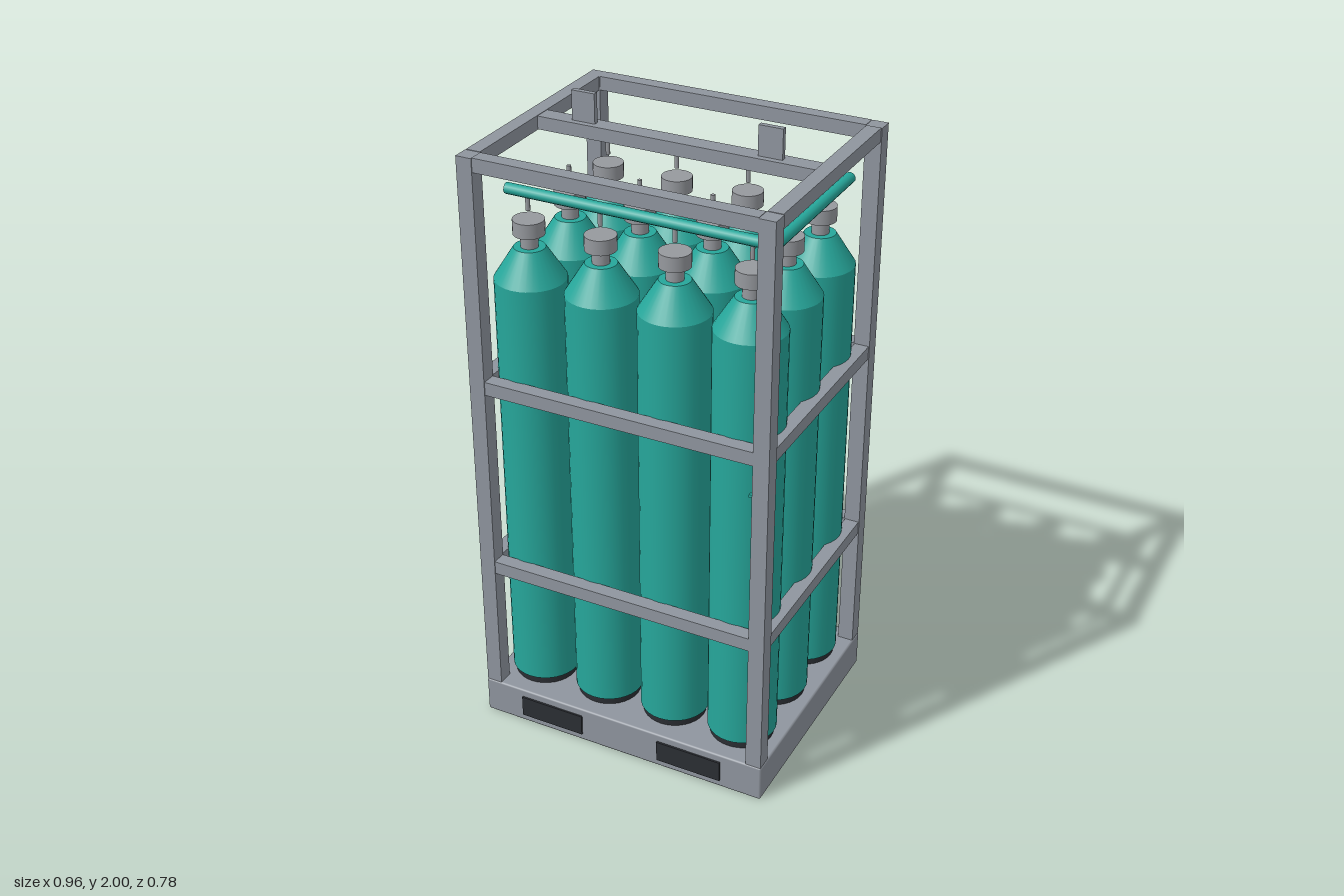
import * as THREE from 'three';
import { RoundedBoxGeometry } from 'three/addons/geometries/RoundedBoxGeometry.js';

export function createModel() {
  const mat = (name, color) => {
    const m = new THREE.MeshStandardMaterial({ color });
    m.name = name;
    return m;
  };
  const steel = mat('frame grey', 0x8f959e);
  const teal = mat('cylinder teal', 0x26a69a);
  const valveGrey = mat('valve grey', 0x96999e);
  const dark = mat('dark rubber', 0x2b2e33);

  const model = new THREE.Group();
  model.name = 'gasCylinderRack';
  const ZC = -0.005; // centre of the frame in z

  const add = (parent, name, geo, material, x, y, z) => {
    const mesh = new THREE.Mesh(geo, material);
    mesh.name = name;
    mesh.position.set(x, y, z);
    parent.add(mesh);
    return mesh;
  };
  // Box given by its min and max corners
  const box = (parent, name, material, x0, x1, y0, y1, z0, z1) =>
    add(parent, name, new THREE.BoxGeometry(x1 - x0, y1 - y0, z1 - z0), material,
      (x0 + x1) / 2, (y0 + y1) / 2, (z0 + z1) / 2);

  // Base pallet with dark fork pockets on the front
  add(model, 'base', new RoundedBoxGeometry(0.965, 0.12, 0.77, 1, 0.006), steel, 0, 0.06, ZC);
  for (const x of [-0.242, 0.239])
    box(model, 'forkPocket', dark, x - 0.108, x + 0.108, 0.025, 0.095, 0.379, 0.386);

  // Frame: four posts, rails on all sides at three heights
  const frame = new THREE.Group();
  frame.name = 'frame';
  model.add(frame);
  const W = 0.48, D = 0.383, T = 0.05;
  for (const sx of [-1, 1])
    for (const sz of [-1, 1])
      add(frame, 'post', new THREE.BoxGeometry(T, 1.79, T), steel,
        sx * (W - T / 2), 1.015, ZC + sz * (D - T / 2));
  for (const y of [0.563, 1.193, 1.89])
    for (const s of [-1, 1]) {
      add(frame, 'longRail', new THREE.BoxGeometry(2 * (W - T), 0.043, 0.045), steel,
        0, y, ZC + s * (D - 0.025));
      add(frame, 'sideRail', new THREE.BoxGeometry(0.045, 0.043, 2 * (D - T)), steel,
        s * (W - 0.025), y, ZC);
    }

  // Lifting beam and lugs
  box(frame, 'liftingBeam', steel, -0.44, 0.44, 1.87, 1.91, -0.034, 0.022);
  for (const x of [-0.292, 0.29])
    box(frame, 'liftingLug', steel, x - 0.037, x + 0.037, 1.865, 2, -0.013, 0.003);

  // Twelve gas cylinders
  const R = 0.107;
  const footGeo = new THREE.CylinderGeometry(0.099, 0.099, 0.028, 32);
  const bodyGeo = new THREE.CylinderGeometry(R, R, 1.365, 32);
  const shoulderGeo = new THREE.CylinderGeometry(0.047, R, 0.095, 32, 1, true);
  const topGeo = new THREE.CircleGeometry(0.047, 32).rotateX(-Math.PI / 2);
  const neckGeo = new THREE.CylinderGeometry(0.026, 0.026, 0.05, 20);
  const capGeo = new THREE.CylinderGeometry(0.047, 0.047, 0.045, 24);
  const stemGeo = new THREE.CylinderGeometry(0.007, 0.007, 0.05, 8);
  for (const x of [-0.349, -0.117, 0.115, 0.347])
    for (const z of [-0.237, ZC, 0.227]) {
      const bottle = new THREE.Group();
      bottle.name = 'gasCylinder';
      bottle.position.set(x, 0, z);
      model.add(bottle);
      add(bottle, 'foot', footGeo, dark, 0, 0.132, 0);
      add(bottle, 'body', bodyGeo, teal, 0, 0.8275, 0);
      add(bottle, 'shoulder', shoulderGeo, teal, 0, 1.5575, 0);
      add(bottle, 'shoulderTop', topGeo, teal, 0, 1.605, 0);
      add(bottle, 'neck', neckGeo, valveGrey, 0, 1.625, 0);
      add(bottle, 'valveCap', capGeo, valveGrey, 0, 1.6675, 0);
      add(bottle, 'stem', stemGeo, valveGrey, 0, 1.74, 0);
    }

  // Manifold: two long pipes, a cross pipe and a drop pipe
  const manifold = new THREE.Group();
  manifold.name = 'manifold';
  model.add(manifold);
  const pipe = (name, length, x, y, z, rx, rz) => {
    const geo = new THREE.CylinderGeometry(0.017, 0.017, length, 10);
    add(manifold, name, geo, teal, x, y, z).rotation.set(rx, 0, rz);
  };
  for (const z of [-0.239, 0.227])
    pipe('manifoldPipe', 0.825, -0.005, 1.77, z, 0, Math.PI / 2);
  pipe('crossPipe', 0.565, 0.415, 1.772, 0.006, Math.PI / 2, 0);
  pipe('dropPipe', 0.29, 0.415, 1.633, 0.293, 0, 0);

  // Outlet valve beside the front corner post
  box(manifold, 'outletHandle', teal, 0.398, 0.455, 1.034, 1.044, 0.27, 0.328);
  box(manifold, 'outletValve', valveGrey, 0.405, 0.452, 0.915, 0.975, 0.27, 0.315);

  return model;
}
